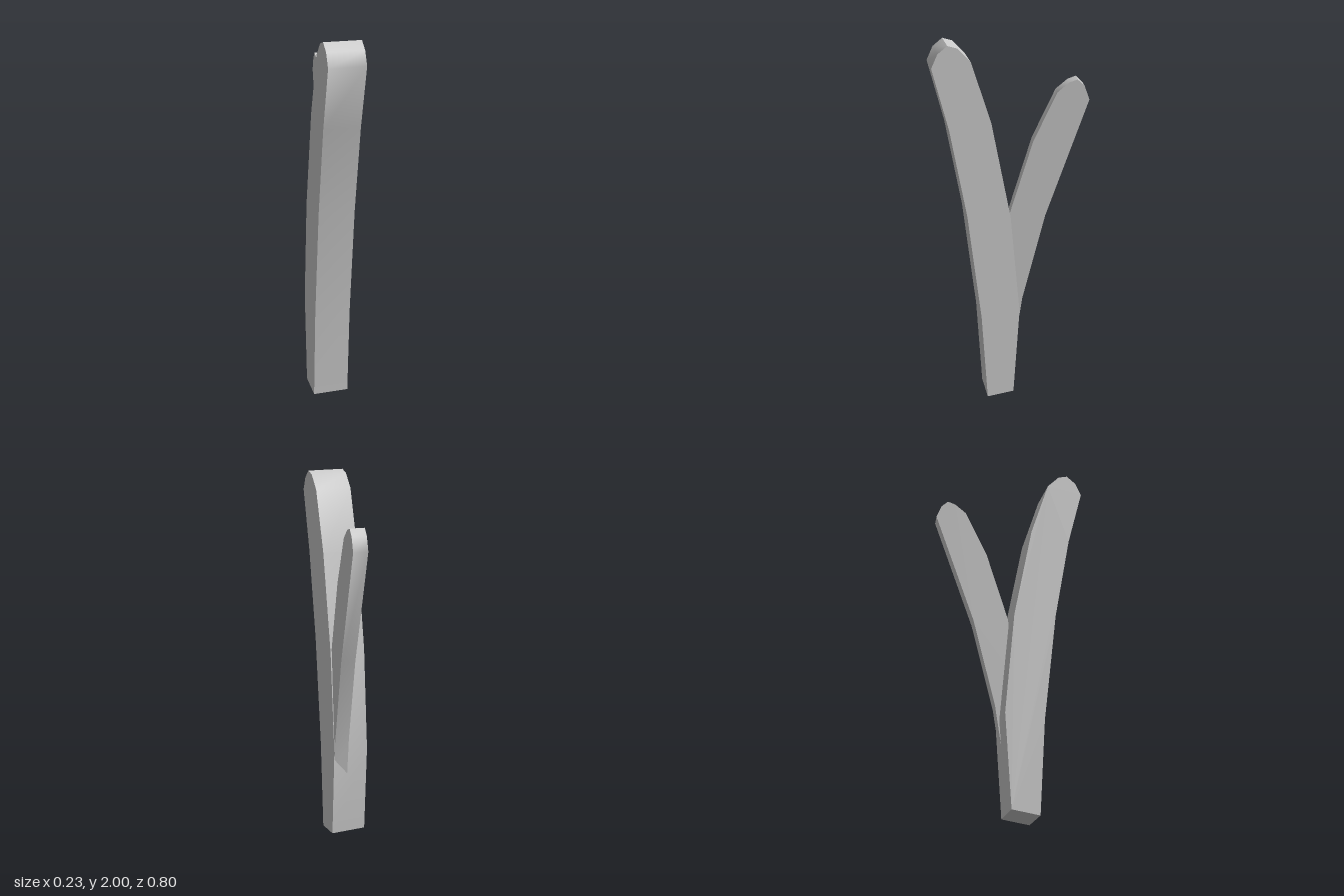
import * as THREE from 'three';
import { toCreasedNormals } from 'three/addons/utils/BufferGeometryUtils.js';

const material = new THREE.MeshStandardMaterial({ color: 0xcccccc });

// A flat-sided slab: a side outline of [z, y] points, extruded across x
function slab(name, outline, xMin, xMax) {
  const shape = new THREE.Shape(outline.map(([z, y]) => new THREE.Vector2(-z, y)));
  const extruded = new THREE.ExtrudeGeometry(shape, { depth: xMax - xMin, bevelEnabled: false });
  extruded.rotateY(Math.PI / 2).translate(xMin, 0, 0);
  const mesh = new THREE.Mesh(toCreasedNormals(extruded, 0.8), material);
  mesh.name = name;
  return mesh;
}

export function createModel() {
  const model = new THREE.Group();
  model.name = 'forkedStalk';

  // Main stem: leans forward and ends in a rounded tip
  model.add(slab('stem', [
    [0.135, 0], [0.165, 0.5], [0.235, 1.1], [0.32, 1.57], [0.402, 1.89],
    [0.37, 1.96], [0.32, 2.0], [0.27, 1.985], [0.205, 1.915],
    [0.105, 1.6], [0.005, 1.08], [-0.045, 0.52], [-0.012, 0.02],
  ], -0.115, 0.078));

  // Thinner branch: grows out of the stem and leans backward, turned slightly sideways
  const branch = slab('branch', [
    [0.05, 0.42], [0.045, 0.75], [0, 1.1], [-0.12, 1.49], [-0.24, 1.745],
    [-0.3, 1.795], [-0.342, 1.81], [-0.378, 1.775], [-0.404, 1.705],
    [-0.187, 1.08], [-0.068, 0.6], [-0.035, 0.38],
  ], -0.005, 0.071);
  branch.rotation.y = -0.105;
  model.add(branch);

  return model;
}
